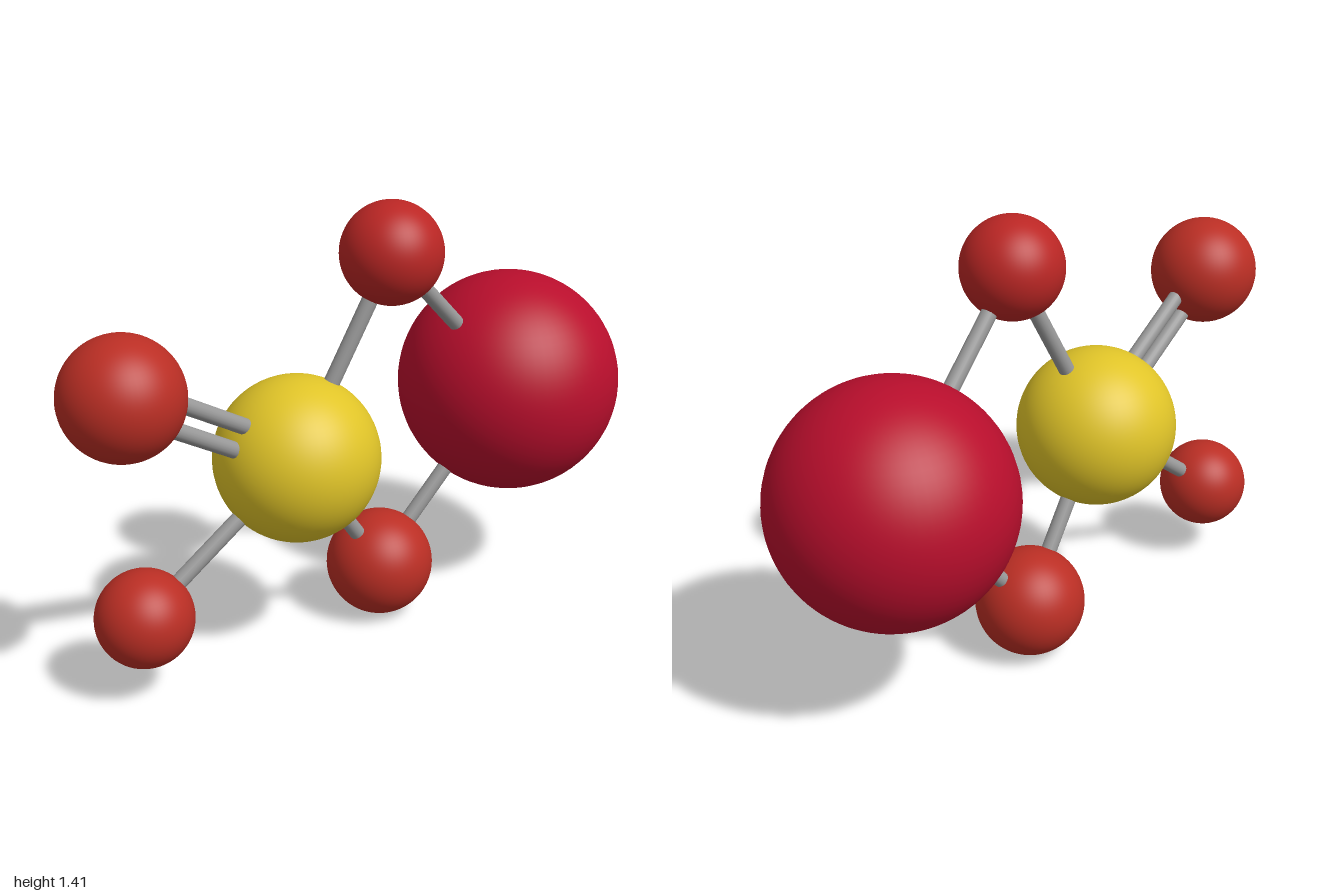
import * as THREE from 'three';

// Ball positions and radii
const BALLS = {
  centreBall:     { at: [-0.22, 0.657, 0], r: 0.256, color: 0xe0c428 },
  largeBall:      { at: [0.635, 0.718, 0], r: 0.365, color: 0xb80e2c },
  upperRightBall: { at: [-0.823, 1.01, 0.059], r: 0.177, color: 0xba2e24 },
  lowerRightBall: { at: [-0.742, 0.262, -0.045], r: 0.149, color: 0xba2e24 },
  topBall:        { at: [0.09, 1.258, 0.061], r: 0.157, color: 0xba2624 },
  bottomBall:     { at: [0.133, 0.177, -0.044], r: 0.174, color: 0xba2e24 },
};

// Rods between balls; the last value is the number of parallel rods
const RODS = [
  ['centreBall', 'upperRightBall', 2],
  ['centreBall', 'lowerRightBall', 1],
  ['centreBall', 'topBall', 1],
  ['centreBall', 'bottomBall', 1],
  ['largeBall', 'topBall', 1],
  ['largeBall', 'bottomBall', 1],
];
const ROD_RADIUS = 0.025;
const ROD_GAP = 0.075;

// Cylinder running from point a to point b
function makeRod(a, b, material) {
  const dir = b.clone().sub(a);
  const rod = new THREE.Mesh(new THREE.CylinderGeometry(ROD_RADIUS, ROD_RADIUS, dir.length(), 20), material);
  rod.position.copy(a).add(b).multiplyScalar(0.5);
  rod.quaternion.setFromUnitVectors(new THREE.Vector3(0, 1, 0), dir.normalize());
  return rod;
}

export function createModel() {
  const model = new THREE.Group();
  model.name = 'ballAndStickModel';

  // Balls
  for (const [name, { at, r, color }] of Object.entries(BALLS)) {
    const ball = new THREE.Mesh(
      new THREE.SphereGeometry(r, 64, 40),
      new THREE.MeshStandardMaterial({ color })
    );
    ball.name = name;
    ball.position.set(...at);
    model.add(ball);
  }

  // Connecting rods, doubled ones spread side by side in the upright plane
  const rodMaterial = new THREE.MeshStandardMaterial({ color: 0x999999 });
  for (const [from, to, count] of RODS) {
    const a = new THREE.Vector3(...BALLS[from].at);
    const b = new THREE.Vector3(...BALLS[to].at);
    const side = b.clone().sub(a).cross(new THREE.Vector3(0, 0, 1)).normalize();
    for (let i = 0; i < count; i++) {
      const shift = side.clone().multiplyScalar((i - (count - 1) / 2) * ROD_GAP);
      const rod = makeRod(a.clone().add(shift), b.clone().add(shift), rodMaterial);
      rod.name = `${to}Rod${i + 1}From${from[0].toUpperCase()}${from.slice(1)}`;
      model.add(rod);
    }
  }
  return model;
}
